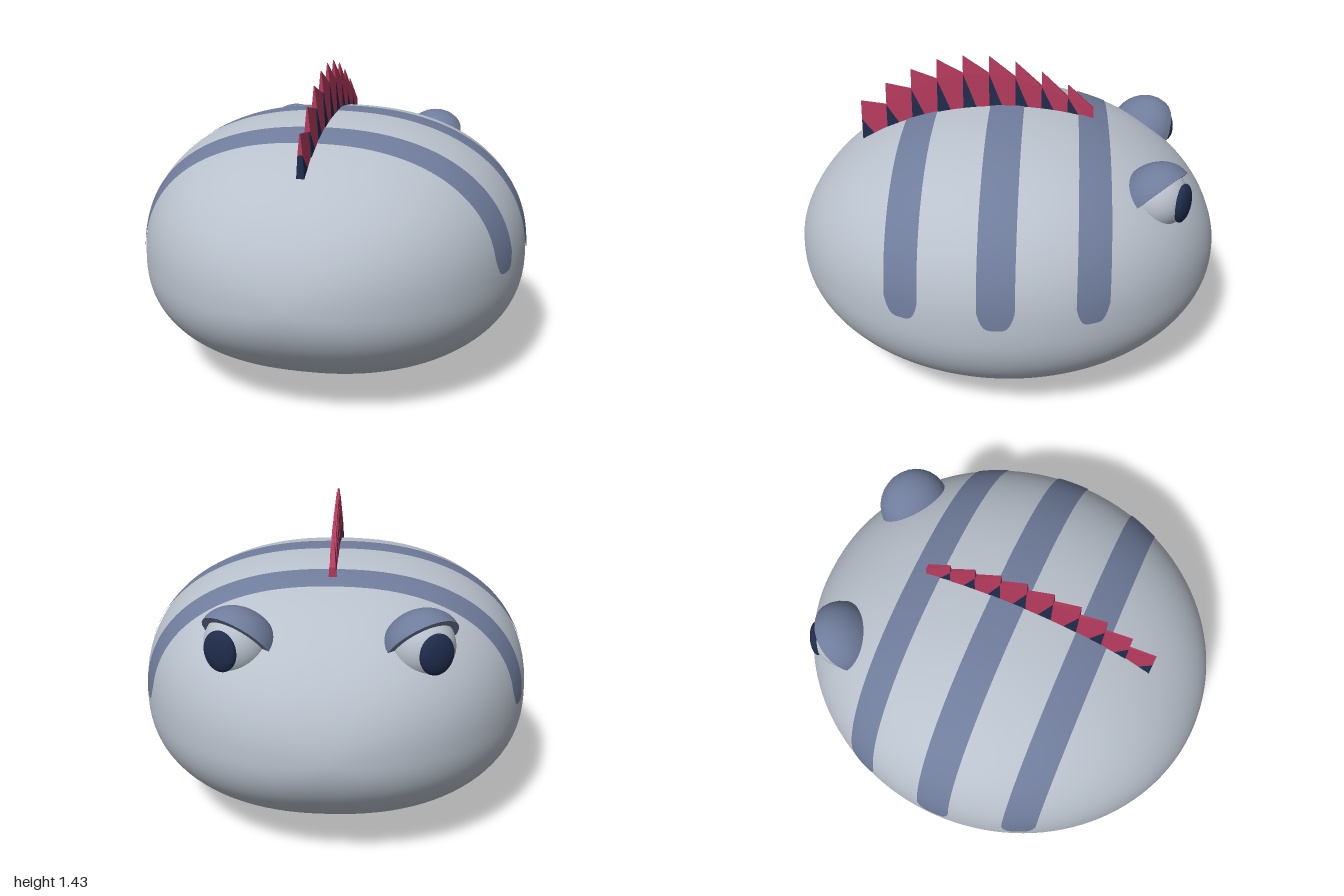
import * as THREE from 'three';
import { mergeVertices, toCreasedNormals } from 'three/addons/utils/BufferGeometryUtils.js';
import { ParametricGeometry } from 'three/addons/geometries/ParametricGeometry.js';

const CY = 0.53, TOP = 0.665, BOTTOM = 0.528, HALF_W = 0.913, POWER = 2.3;

function material(name, color) {
  const m = new THREE.MeshStandardMaterial({ color });
  m.name = name;
  return m;
}

// Point on the body: boxy-oval cross-section at angle a, shrinking along z
function bodyPoint(z, a, grow, target) {
  const s = Math.sqrt(Math.max(0, 1 - z * z)) * grow;
  const c = Math.cos(a), n = Math.sin(a);
  const x = Math.sign(c) * Math.abs(c) ** (2 / POWER);
  const y = Math.sign(n) * Math.abs(n) ** (2 / POWER);
  return target.set(HALF_W * s * x, CY + (y > 0 ? TOP : BOTTOM) * s * y, z);
}

function smoothSurface(fn, slices, stacks) {
  let g = new ParametricGeometry(fn, slices, stacks);
  g.deleteAttribute('normal');
  g.deleteAttribute('uv');
  g = mergeVertices(g, 1e-5);
  g.computeVertexNormals();
  return g;
}

// Thin band over the back with rounded lower ends
function stripeGeometry(zMid, half) {
  return smoothSurface((u, v, target) => {
    const t = v * 2 - 1, z = zMid + half * t;
    const low = 0.57 + 0.08 * t ** 4;
    const h = (low - CY) / (TOP * Math.sqrt(1 - z * z));
    const a0 = Math.asin(h ** (POWER / 2));
    bodyPoint(z, a0 + (Math.PI - 2 * a0) * u, 1.005, target);
  }, 80, 16);
}

// Solid from a convex [z, y] outline, counter-clockwise seen from +x,
// whose half thickness depends on height
function wedgeGeometry(outline, halfWidth) {
  const pos = [];
  const p = ([z, y], side) => [side * halfWidth(y), y, z];
  const tri = (a, b, c) => pos.push(...a, ...b, ...c);
  const n = outline.length;
  for (let i = 0; i < n; i++) {
    const a = outline[i], b = outline[(i + 1) % n];
    if (i > 0 && i < n - 1) {
      tri(p(outline[0], 1), p(a, 1), p(b, 1));
      tri(p(outline[0], -1), p(b, -1), p(a, -1));
    }
    tri(p(a, 1), p(a, -1), p(b, -1));
    tri(p(a, 1), p(b, -1), p(b, 1));
  }
  const g = new THREE.BufferGeometry();
  g.setAttribute('position', new THREE.Float32BufferAttribute(pos, 3));
  g.computeVertexNormals();
  return g;
}

export function createModel() {
  const model = new THREE.Group();
  model.name = 'stripedCreature';
  const skin = material('pale grey skin', 0xb9c1cc);
  const slate = material('slate blue', 0x6f7c9b);
  const crimson = material('crimson', 0xb43a5c);
  const navy = material('dark navy', 0x1f2c4c);

  const add = (parent, name, geometry, mat) => {
    const mesh = new THREE.Mesh(geometry, mat);
    mesh.name = name;
    parent.add(mesh);
    return mesh;
  };

  // Body
  add(model, 'body', smoothSurface((u, v, target) =>
    bodyPoint(-Math.cos(Math.PI * v), u * Math.PI * 2, 1, target), 96, 64), skin);

  // Stripes
  for (const [z, half] of [[-0.4, 0.07], [0, 0.079], [0.402, 0.074]]) {
    add(model, 'stripe', stripeGeometry(z, half), slate);
  }

  // Crest: red teeth, each with a navy wedge at its root
  const crest = new THREE.Group();
  crest.name = 'crest';
  model.add(crest);
  const tips = [1.2, 1.29, 1.36, 1.41, 1.43, 1.43, 1.405, 1.36, 1.3];
  const valleys = [1.11, 1.185, 1.265, 1.315, 1.345, 1.345, 1.33, 1.29, 1.24, 1.185];
  const step = 1.09 / tips.length;
  const base = z => CY + TOP * Math.sqrt(1 - z * z) - 0.025;
  tips.forEach((tip, i) => {
    const z0 = 0.69 - i * step, z1 = z0 - step, zq = z0 - step * 0.58;
    const halfWidth = y => Math.min(0.019, 0.002 + 0.1 * (tip - y));
    const root = [z0, base(z0)], peak = [z0, valleys[i]], mid = [zq, base(zq)];
    add(crest, 'crestTooth', wedgeGeometry(
      [peak, mid, [z1, base(z1)], [z1, valleys[i + 1]], [z0, tip]], halfWidth), crimson);
    add(crest, 'crestRoot', wedgeGeometry([root, mid, peak], halfWidth), navy);
  });

  // Eyelid profile: flat rim, then a slightly flattened dome up to the pole
  const lidProfile = [new THREE.Vector2(0.135, 0)];
  for (let i = 0; i <= 10; i++) {
    const a = (i / 10) * Math.PI / 2;
    lidProfile.push(new THREE.Vector2(0.173 * Math.cos(a), 0.145 * Math.sin(a)));
  }
  const lidGeometry = toCreasedNormals(new THREE.LatheGeometry(lidProfile, 28), 0.7);

  // Eyes, looking outwards, with lids tipped back and inwards
  for (const side of [1, -1]) {
    const eye = new THREE.Group();
    eye.name = side > 0 ? 'leftEye' : 'rightEye';
    eye.position.set(0.38 * side, 0.93, -0.67);
    eye.rotation.y = side * (Math.PI - 0.46);
    add(eye, 'eyeball', new THREE.SphereGeometry(0.142, 32, 20), skin);
    const pupil = add(eye, 'pupil', new THREE.SphereGeometry(1, 24, 16), navy);
    pupil.scale.set(0.078, 0.088, 0.032);
    pupil.position.set(0, 0, 0.126);
    const lid = add(eye, 'eyelid', lidGeometry, slate);
    lid.rotation.set(-0.85, -0.17 * side, 0, 'YXZ');
    model.add(eye);
  }
  return model;
}
